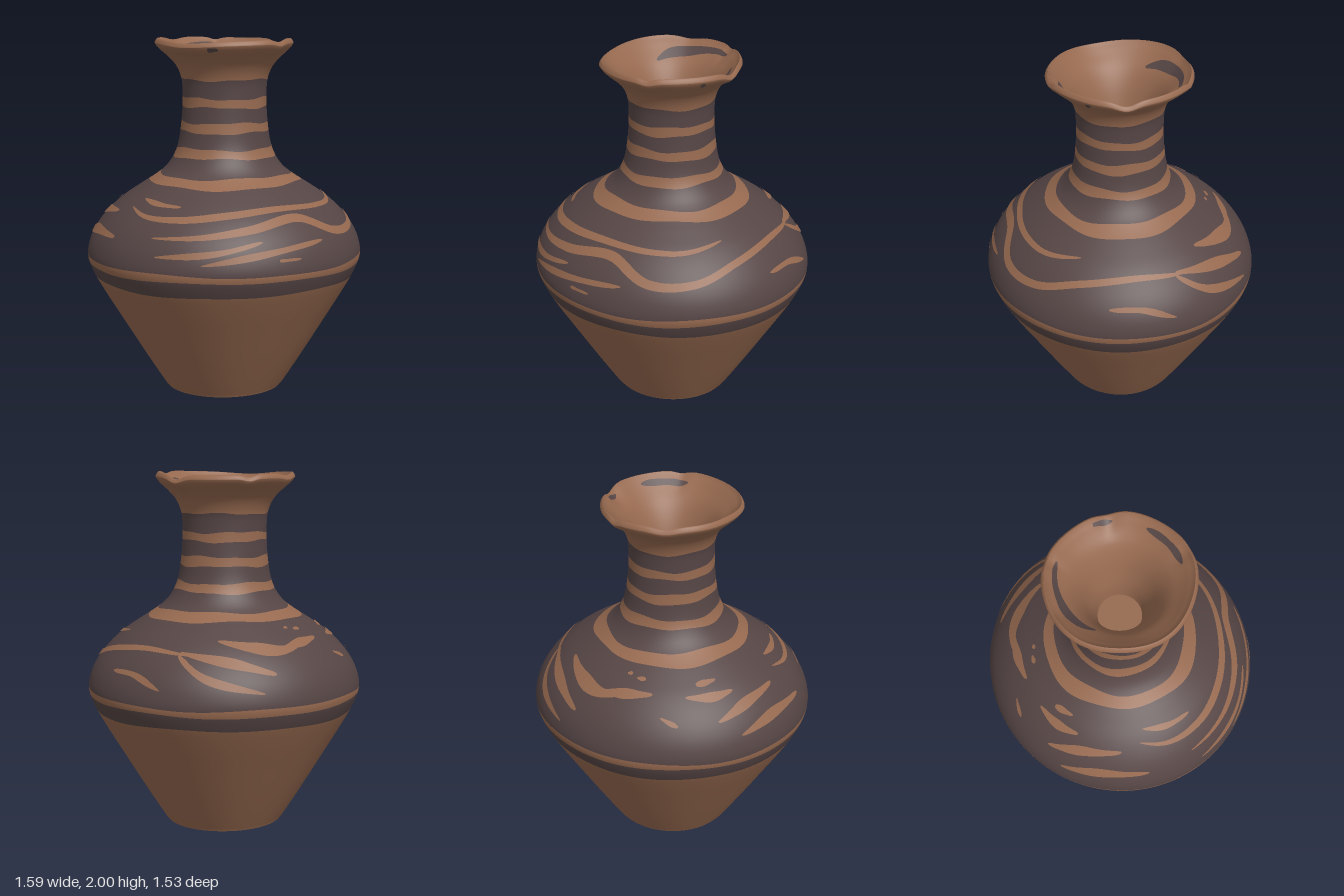
import * as THREE from 'three';

const clay = new THREE.MeshStandardMaterial({ color: 0x96694f });
clay.name = 'clay';
const slip = new THREE.MeshStandardMaterial({ color: 0x564545 });
slip.name = 'dark slip';

// Outer silhouette: [height, radius]
const OUTER = [[0, 0.335], [0.012, 0.347], [0.2, 0.468], [0.4, 0.592], [0.6, 0.714], [0.7, 0.768], [0.78, 0.794],
  [0.86, 0.782], [0.94, 0.745], [1.02, 0.683], [1.1, 0.595], [1.17, 0.49], [1.22, 0.41], [1.27, 0.344], [1.33, 0.298],
  [1.4, 0.268], [1.5, 0.249], [1.6, 0.239], [1.7, 0.236], [1.78, 0.243], [1.85, 0.272], [1.9, 0.318], [1.94, 0.37], [1.962, 0.387]];
// Inside of the mouth, from floor up to the lip
const INNER = [[1.5, 0.12], [1.6, 0.135], [1.7, 0.165], [1.8, 0.205], [1.88, 0.255], [1.94, 0.318], [1.972, 0.352], [1.985, 0.37]];

// Smooth interpolation through a [height, radius] list
function radiusOf(list, y) {
  let i = 0;
  while (i < list.length - 2 && y > list[i + 1][0]) i++;
  const slope = k => {
    const a = list[Math.max(k - 1, 0)], b = list[Math.min(k + 1, list.length - 1)];
    return (b[1] - a[1]) / (b[0] - a[0]);
  };
  const [y0, r0] = list[i], [y1, r1] = list[i + 1], h = y1 - y0;
  const t = THREE.MathUtils.clamp((y - y0) / h, 0, 1), u = 1 - t;
  return r0 * (1 + 2 * t) * u * u + slope(i) * h * t * u * u + r1 * t * t * (3 - 2 * t) - slope(i + 1) * h * t * t * u;
}
const outer = y => radiusOf(OUTER, y);
const inner = y => radiusOf(INNER, y);

// Places a point on the slightly oval body, with an uneven handmade rim
const NOTCHES = [[1.5, 0.16, 0.028], [0.2, 0.12, 0.014], [-2.9, 0.2, 0.016], [-1.3, 0.4, 0.012], [2.6, 0.1, 0.014]];
const depthScale = y => THREE.MathUtils.lerp(0.965, 1.03, THREE.MathUtils.smoothstep(y, 1.1, 1.9));
function place(a, r, y) {
  const k = THREE.MathUtils.smoothstep(y, 1.88, 1.985);
  let dip = -0.004 + 0.005 * Math.sin(2 * a + 0.6);
  for (const [c, w, d] of NOTCHES) {
    const da = Math.atan2(Math.sin(a - c), Math.cos(a - c)) / w;
    dip -= d * Math.exp(-da * da);
  }
  const rr = r * (1 + k * 0.012 * Math.sin(5 * a + 1));
  return new THREE.Vector3(rr * Math.sin(a), y + k * (dip + 0.013), rr * Math.cos(a) * depthScale(y));
}

// Surface normal by finite differences; f(a, t) returns a point
function normalAt(f, a, t) {
  const e = 1e-3;
  const da = f(a + e, t).sub(f(a - e, t)), dt = f(a, t + e).sub(f(a, t - e));
  return da.cross(dt).normalize();
}

function geometry(pos, nor, index) {
  const g = new THREE.BufferGeometry();
  g.setAttribute('position', new THREE.Float32BufferAttribute(pos, 3));
  g.setAttribute('normal', new THREE.Float32BufferAttribute(nor, 3));
  g.setIndex(index);
  return g;
}

// Closed ring of surface between parameters lo(a) and hi(a)
function ring(f, lo, hi, rows, cols = 128) {
  const pos = [], nor = [], index = [];
  for (let j = 0; j <= rows; j++) for (let i = 0; i <= cols; i++) {
    const a = i / cols * Math.PI * 2, t = THREE.MathUtils.lerp(lo(a), hi(a), j / rows);
    pos.push(...f(a, t).toArray());
    nor.push(...normalAt(f, a, t).toArray());
    if (i < cols && j < rows) {
      const p = j * (cols + 1) + i, q = p + cols + 1;
      index.push(p, p + 1, q + 1, p, q + 1, q);
    }
  }
  return geometry(pos, nor, index);
}

// Tapered brush stroke lying on a surface, through [angle, height] points
function stroke(f, points, width, flip = 1) {
  const path = [];
  for (let [a, y] of points) {
    const last = path.length ? path[path.length - 1].x : a;
    while (a - last > Math.PI) a -= 2 * Math.PI;
    while (a - last < -Math.PI) a += 2 * Math.PI;
    path.push(new THREE.Vector3(a, y, 0));
  }
  const curve = new THREE.CatmullRomCurve3(path), n = 12 * points.length;
  const pos = [], nor = [], index = [];
  for (let k = 0; k <= n; k++) {
    const u = k / n, c = curve.getPoint(u), c0 = curve.getPoint(Math.max(u - 0.01, 0)), c1 = curve.getPoint(Math.min(u + 0.01, 1));
    const N = normalAt(f, c.x, c.y).multiplyScalar(flip);
    const T = f(c1.x, c1.y).sub(f(c0.x, c0.y)).normalize();
    const half = width / 2 * Math.pow(Math.sin(Math.PI * Math.min(Math.max(u, 0.005), 0.995)), 0.45) * (1 + 0.15 * Math.sin(u * 9 + points[0][0]));
    const side = N.clone().cross(T).multiplyScalar(half);
    const P = f(c.x, c.y).addScaledVector(N, 0.005);
    pos.push(...P.clone().sub(side).toArray(), ...P.clone().add(side).toArray());
    nor.push(...N.toArray(), ...N.toArray());
    if (k < n) index.push(2 * k, 2 * k + 2, 2 * k + 3, 2 * k, 2 * k + 3, 2 * k + 1);
  }
  return geometry(pos, nor, index);
}

// Stroke points given by plan position, by front position, or by side position
const plan = (x, z) => {
  const r = Math.hypot(x, z / 0.967);
  let y = 1.3;
  while (y > 0.82 && outer(y) < r) y -= 0.004;
  return [Math.atan2(x, z / 0.967), y];
};
const front = (x, y) => [Math.asin(THREE.MathUtils.clamp(x / outer(y), -1, 1)), y];
const side = (z, y) => [Math.acos(THREE.MathUtils.clamp(z / outer(y) / 0.967, -1, 1)), y];
const mouth = (x, z, y) => [Math.atan2(x, z), y];
const map = (fn, ...pts) => pts.map(p => fn(...p));

export function createModel() {
  const group = new THREE.Group();
  const add = (name, geo, mat) => {
    const m = new THREE.Mesh(geo, mat);
    m.name = name;
    group.add(m);
    return m;
  };
  const outside = (a, y) => place(a, outer(y), y);
  const inside = (a, y) => place(a, inner(y), y);

  // Body and neck, split into painted bands with hand-drawn edges
  const edges = [0, 0.67, 0.752, 0.79, 1.2, 1.245, 1.343, 1.393, 1.483, 1.537, 1.622, 1.672, 1.775, 1.962];
  const edgeAt = i => a => edges[i] + (i === 0 || i === edges.length - 1 ? 0 : 0.005 * Math.sin(3 * a + i * 1.7) + 0.003 * Math.sin(7 * a + i));
  for (let i = 0; i < edges.length - 1; i++) {
    const rows = Math.max(4, Math.ceil((edges[i + 1] - edges[i]) / 0.02));
    const name = i === 0 ? 'lowerBody' : i === 3 ? 'shoulder' : i === 12 ? 'neckFlare' : 'band' + i;
    add(name, ring(outside, edgeAt(i), edgeAt(i + 1), rows), i % 2 ? slip : clay);
  }

  // Rounded lip joining outside and inside
  const lip = (a, t) => {
    const s = t * Math.PI;
    return place(a, 0.3785 + 0.0085 * Math.cos(s), 1.962 + 0.0115 * (1 - Math.cos(s)) + 0.006 * Math.sin(s));
  };
  add('lip', ring(lip, () => 0, () => 1, 6), clay);

  // Mouth interior, running downwards so it faces the axis
  add('mouthInterior', ring((a, t) => inside(a, -t), () => -1.985, () => -1.5, 26), clay);
  const floor = add('mouthFloor', new THREE.CircleGeometry(0.122, 48), clay);
  floor.rotation.x = -Math.PI / 2;
  floor.position.y = 1.502;
  const base = add('base', new THREE.CircleGeometry(0.335, 96), clay);
  base.rotation.x = Math.PI / 2;
  base.scale.y = 0.965;

  // Clay-coloured streaks left in the dark shoulder
  const streaks = [
    [0.045, map(plan, [-0.6, -0.04], [-0.63, 0.12], [-0.55, 0.32], [-0.36, 0.48], [-0.1, 0.56], [0.2, 0.545], [0.35, 0.47], [0.47, 0.29])],
    [0.052, map(plan, [-0.68, 0.24], [-0.53, 0.46], [-0.31, 0.59], [0, 0.625], [0.24, 0.66], [0.45, 0.55], [0.58, 0.32], [0.63, 0.03], [0.59, -0.26])],
    [0.035, map(plan, [-0.54, -0.01], [-0.55, 0.13], [-0.5, 0.26])],
    [0.055, map(plan, [-0.45, -0.53], [-0.55, -0.36], [-0.62, -0.15])],
    [0.055, map(plan, [-0.57, -0.49], [-0.68, -0.28], [-0.74, -0.02])],
    [0.05, map(plan, [-0.26, -0.52], [-0.39, -0.45], [-0.47, -0.36])],
    [0.035, map(plan, [-0.29, -0.44], [-0.37, -0.36])],
    [0.055, map(plan, [-0.09, -0.56], [0.06, -0.58], [0.2, -0.57])],
    [0.075, map(plan, [0.1, -0.59], [0.23, -0.57], [0.35, -0.48], [0.45, -0.33])],
    [0.06, map(plan, [0.33, -0.63], [0.48, -0.47], [0.6, -0.2])],
    [0.025, map(plan, [-0.26, -0.64], [-0.16, -0.64])],
    [0.025, map(plan, [-0.03, -0.5], [0.02, -0.5])],
    [0.02, map(plan, [0.05, -0.48], [0.08, -0.48])],
    [0.035, map(front, [-0.71, 0.88], [-0.5, 0.91], [-0.27, 0.96])],
    [0.038, map(front, [-0.57, 0.85], [-0.35, 0.89], [-0.12, 0.92], [0.1, 0.94])],
    [0.018, map(front, [-0.21, 0.865], [-0.08, 0.865])],
    [0.035, map(side, [0.18, 0.945], [0, 0.94], [-0.18, 0.88])],
    [0.045, map(side, [-0.2, 1.05], [-0.38, 0.95], [-0.63, 0.87])]
  ];
  streaks.forEach(([w, pts], i) => add('shoulderStreak' + (i + 1), stroke(outside, pts, w), clay));

  // Dark paint patches inside and outside the rim
  const patches = [
    [0.06, map(mouth, [-0.22, -0.19, 1.89], [-0.16, -0.26, 1.915], [0, -0.32, 1.935], [0.21, -0.3, 1.955])],
    [0.045, map(mouth, [0.02, 0.33, 1.945], [0.15, 0.3, 1.945], [0.28, 0.22, 1.95])],
    [0.03, map(mouth, [0.36, -0.06, 1.965], [0.36, 0.05, 1.965])]
  ];
  patches.forEach(([w, pts], i) => add('rimPatch' + (i + 1), stroke(inside, pts, w, -1), slip));
  for (const [x, w] of [[-0.29, 0.06], [0.32, 0.03]]) {
    const a = Math.asin(x / 0.385), d = w / 0.8;
    add('rimSpot', stroke(outside, [[a - d, 1.948], [a + d, 1.948]], 0.03), slip);
  }
  return group;
}
